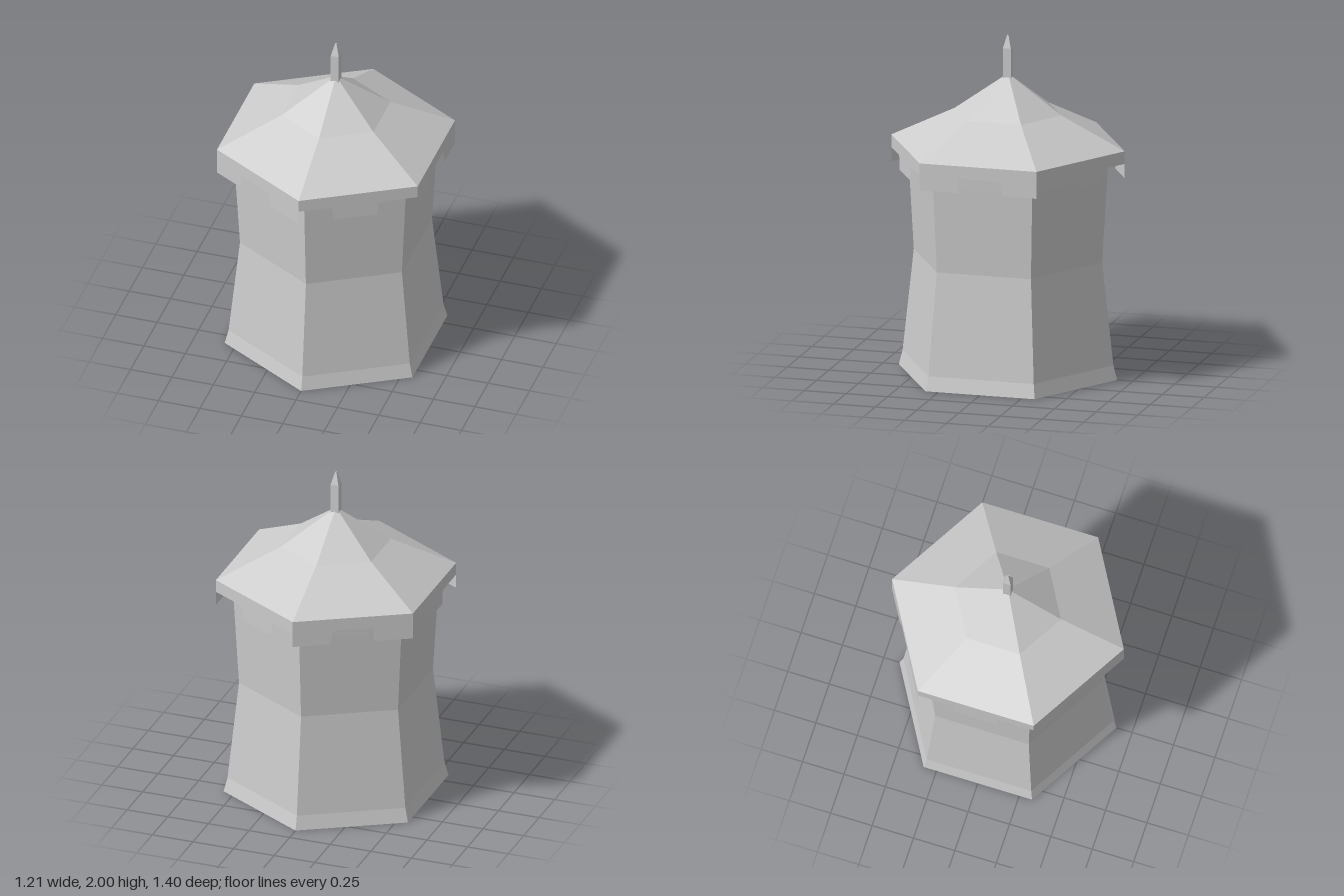
import * as THREE from 'three';

const material = new THREE.MeshStandardMaterial({
  color: 0xcccccc, flatShading: true, side: THREE.DoubleSide,
});

// Six-sided open shell from a [radius, height] profile; a corner points to +z
function hexShell(name, profile) {
  const points = profile.map(([r, y]) => new THREE.Vector2(r, y));
  const mesh = new THREE.Mesh(new THREE.LatheGeometry(points, 6), material);
  mesh.name = name;
  return mesh;
}

const EAVE = 0.7, TOP = 1.36, BOTTOM = 1.2, NOTCH = 1.285, SLANT = 0.008;

// One cloth strip; a and b (0..1) are where the cut starts and ends.
// With a middle tab the ends are cut away, otherwise the middle is.
function valancePanel(a, b, middleTab) {
  const h = EAVE / 2;
  const xa = -h + a * EAVE, xb = -h + b * EAVE;
  const [end, mid, s] = middleTab ? [NOTCH, BOTTOM, -SLANT] : [BOTTOM, NOTCH, SLANT];
  const dx = (y) => (y === NOTCH ? s : 0);
  const outline = [
    [-h, TOP], [-h, end],
    [xa + dx(end), end], [xa + dx(mid), mid],
    [xb - dx(mid), mid], [xb - dx(end), end],
    [h, end], [h, TOP],
  ].map(([x, y]) => new THREE.Vector2(x, y));
  const mesh = new THREE.Mesh(new THREE.ShapeGeometry(new THREE.Shape(outline)), material);
  mesh.position.z = EAVE * Math.cos(Math.PI / 6);
  mesh.name = 'valancePanel';
  return mesh;
}

export function createModel() {
  const model = new THREE.Group();
  model.name = 'hexagonalTent';

  // Cloth walls, open underneath, running up under the roof
  model.add(hexShell('walls', [[0.655, 0], [0.632, 0.085], [0.565, 0.69], [0.595, 1.2], [0.605, 1.4]]));

  // Sagging two-pitch roof
  model.add(hexShell('roof', [[EAVE, TOP], [0.32, 1.545], [0.018, 1.76], [0, 1.76]]));

  // Valance: panels alternate between a middle tab and a middle notch
  const valance = new THREE.Group();
  valance.name = 'valance';
  const cuts = [[0.29, 0.66], [0.325, 0.705], [0.35, 0.72], [0.32, 0.68], [0.31, 0.68], [0.29, 0.645]];
  cuts.forEach(([a, b], i) => {
    const side = new THREE.Group();
    side.name = 'valanceSide';
    side.rotation.y = Math.PI / 6 + i * Math.PI / 3;
    side.add(valancePanel(a, b, i % 2 === 0));
    valance.add(side);
  });
  model.add(valance);

  // Square pole end with a tapered tip
  const finial = new THREE.Group();
  finial.name = 'finial';
  const r = 0.024 * Math.SQRT2;
  for (const [name, top, y0, y1] of [['poleShaft', r, 1.74, 1.925], ['poleTip', 0.006, 1.925, 2]]) {
    const part = new THREE.Mesh(new THREE.CylinderGeometry(top, r, y1 - y0, 4), material);
    part.name = name;
    part.position.y = (y0 + y1) / 2;
    part.rotation.y = Math.PI / 4;
    finial.add(part);
  }
  model.add(finial);

  return model;
}
